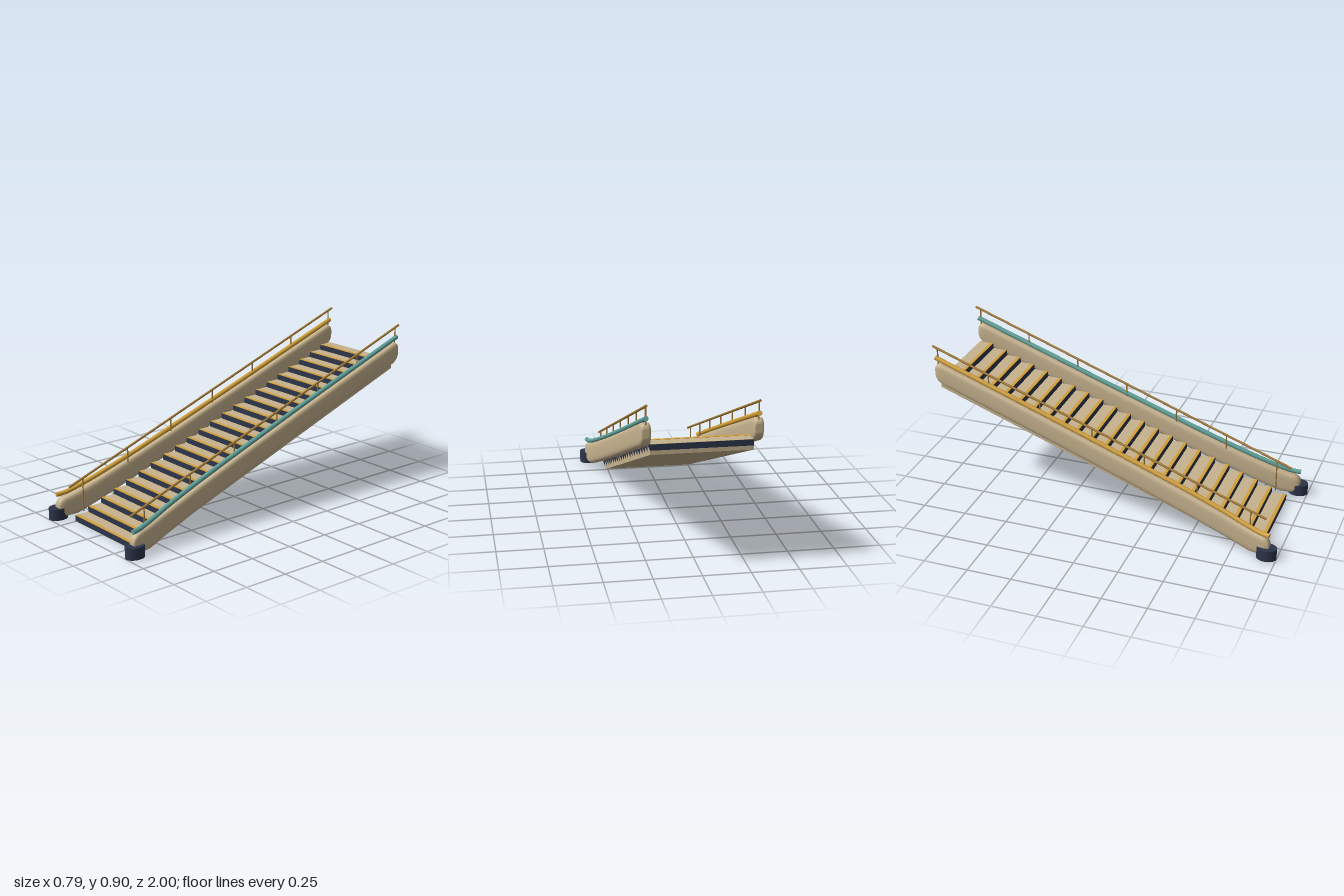
import * as THREE from 'three';

const mat = (name, color) => Object.assign(new THREE.MeshStandardMaterial({ color }), { name });

const STEPS = 22, DEPTH = 0.085, RISE = 0.0314, FRONT = 0.9, HALF = 0.258;
const SLOPE = RISE / DEPTH;

// Sideways flare of the side panels and handrails towards the foot
const flare = [[-1, 0.28], [-0.3, 0.283], [0.2, 0.29], [0.5, 0.3], [0.7, 0.315], [0.85, 0.336], [0.97, 0.356]];
// Height of the handrail along z
const railHeight = [[-0.985, 0.827], [0.8, 0.175], [0.86, 0.155], [0.91, 0.141], [0.97, 0.135]];

function sample(table, z) {
  for (let i = 1; i < table.length; i++) {
    const [z0, a] = table[i - 1], [z1, b] = table[i];
    if (z <= z1 || i === table.length - 1) return a + (b - a) * (z - z0) / (z1 - z0);
  }
}

// Rounded side panel, lofted from superellipse sections along z
function panelGeometry(side) {
  const zBack = -0.982, zFront = 0.957, round = 0.05, N = 28;
  const zs = [];
  for (let i = 0; i <= 6; i++) zs.push(zBack + round * (1 - Math.cos(i / 6 * Math.PI / 2)));
  for (let i = 1; i < 30; i++) zs.push(zBack + round + (zFront - zBack - 2 * round) * i / 30);
  for (let i = 6; i >= 0; i--) zs.push(zFront - round * (1 - Math.cos(i / 6 * Math.PI / 2)));

  const pos = [], index = [];
  const tri = (a, b, c) => side > 0 ? index.push(a, b, c) : index.push(a, c, b);
  const power = (v) => Math.sign(v) * Math.pow(Math.abs(v), 0.55);
  const ring = (z) => {
    const e = Math.min(z - zBack, zFront - z, round) / round;
    const inset = 1 - Math.sqrt(Math.max(0, 1 - (1 - e) ** 2));
    const top = sample(railHeight, z) - 0.014 - 0.04 * inset;
    const bottom = Math.max(SLOPE * (FRONT - z) - 0.005, 0.012) + 0.035 * inset;
    const cx = sample(flare, z) - (z > 0.6 ? (z - 0.6) * 0.03 : 0);
    const w = 0.03 - 0.012 * inset, cy = (top + bottom) / 2, h = (top - bottom) / 2;
    for (let j = 0; j < N; j++) {
      const a = j / N * Math.PI * 2;
      pos.push(side * (cx + w * power(Math.cos(a))), cy + h * power(Math.sin(a)), z);
    }
    return [side * cx, cy, z];
  };
  zs.forEach(ring);
  for (let i = 0; i < zs.length - 1; i++) {
    for (let j = 0; j < N; j++) {
      const a = i * N + j, b = i * N + (j + 1) % N;
      tri(a, b, b + N);
      tri(a, b + N, a + N);
    }
  }
  // End caps with their own vertices
  for (const [z, back] of [[zBack, true], [zFront, false]]) {
    const start = pos.length / 3;
    pos.push(...ring(z));
    for (let j = 0; j < N; j++) {
      const a = start + j, b = start + (j + 1) % N;
      if (back) tri(start + N, b, a); else tri(start + N, a, b);
    }
  }
  const g = new THREE.BufferGeometry();
  g.setAttribute('position', new THREE.Float32BufferAttribute(pos, 3));
  g.setIndex(index);
  g.computeVertexNormals();
  return g;
}

// Solid round bar between two points
function bar(a, b, r, material, name) {
  const d = b.clone().sub(a);
  const m = new THREE.Mesh(new THREE.CylinderGeometry(r, r, d.length(), 12), material);
  m.position.copy(a).add(b).multiplyScalar(0.5);
  m.quaternion.setFromUnitVectors(new THREE.Vector3(0, 1, 0), d.normalize());
  m.name = name;
  return m;
}

export function createModel() {
  const model = new THREE.Group();
  model.name = 'staircase';
  const tan = mat('tan', 0xc6b28e), navy = mat('navy', 0x2c3449), gold = mat('gold', 0xd2a03a);
  const teal = mat('teal', 0x5f9f98), brass = mat('brass', 0xa67c38);

  const add = (parent, geometry, material, name, x = 0, y = 0, z = 0) => {
    const m = new THREE.Mesh(geometry, material);
    m.name = name;
    m.position.set(x, y, z);
    parent.add(m);
    return m;
  };

  // Sloping slab beneath the steps
  const outline = [];
  for (let i = 1; i < STEPS; i++) {
    const z = FRONT - i * DEPTH;
    outline.push(new THREE.Vector2(z, (i - 1) * RISE), new THREE.Vector2(z, i * RISE));
  }
  const zEnd = FRONT - STEPS * DEPTH;
  outline.push(new THREE.Vector2(zEnd, (STEPS - 1) * RISE), new THREE.Vector2(zEnd, 0.638), new THREE.Vector2(0.76, 0));
  const slab = new THREE.ExtrudeGeometry(new THREE.Shape(outline), { depth: 2 * HALF, bevelEnabled: false });
  slab.rotateY(-Math.PI / 2).translate(HALF, 0, 0);
  add(model, slab, tan, 'slab');

  // Steps: dark block, tan tread and gold nosing strip
  const steps = new THREE.Group();
  steps.name = 'steps';
  model.add(steps);
  const block = new THREE.BoxGeometry(2 * HALF, RISE, DEPTH);
  const tread = new THREE.BoxGeometry(2 * HALF - 0.004, 0.002, DEPTH - 0.003);
  const nosing = new THREE.BoxGeometry(2 * HALF - 0.006, 0.003, 0.018);
  for (let i = 0; i < STEPS; i++) {
    const z = FRONT - (i + 0.5) * DEPTH, top = (i + 1) * RISE;
    add(steps, block, navy, 'stepBlock', 0, top - RISE / 2, z);
    add(steps, tread, tan, 'tread', 0, top + 0.0003, z - 0.001);
    add(steps, nosing, gold, 'nosing', 0, top + 0.001, z + DEPTH / 2 - 0.01);
  }

  for (const side of [1, -1]) {
    const half = new THREE.Group();
    half.name = side > 0 ? 'leftSide' : 'rightSide';
    model.add(half);

    add(half, panelGeometry(side), tan, 'sidePanel');

    // Oval foot
    const foot = new THREE.CylinderGeometry(0.043, 0.043, 0.064, 32);
    foot.scale(1, 1, 0.055 / 0.043);
    add(half, foot, navy, 'foot', side * 0.354, 0.032, 0.945);

    // Thick handrail following the panel, with closed ends
    const zs = [-0.985, -0.6, -0.3, 0, 0.25, 0.5, 0.7, 0.8, 0.86, 0.91, 0.955];
    const points = zs.map((z) => new THREE.Vector3(side * sample(flare, z), sample(railHeight, z), z));
    const railMaterial = side > 0 ? teal : gold;
    add(half, new THREE.TubeGeometry(new THREE.CatmullRomCurve3(points), 80, 0.013, 14), railMaterial, 'handrail');
    for (const [p, q] of [[points[0], points[1]], [points.at(-1), points.at(-2)]]) {
      const cap = add(half, new THREE.CircleGeometry(0.013, 14), railMaterial, 'handrailEnd', p.x, p.y, p.z);
      cap.quaternion.setFromUnitVectors(new THREE.Vector3(0, 0, 1), p.clone().sub(q).normalize());
    }

    // Thin straight upper rail on posts
    const x = side * 0.28;
    const upper = (z) => 0.19 + (0.92 - z) * 0.3675;
    half.add(bar(new THREE.Vector3(x, upper(0.918), 0.918), new THREE.Vector3(x, upper(-0.998), -0.998), 0.0065, brass, 'upperRail'));
    for (let i = 0; i < 7; i++) {
      const z = 0.83 - i * 0.3;
      half.add(bar(new THREE.Vector3(x, upper(z) - 0.19, z), new THREE.Vector3(x, upper(z), z), 0.0038, brass, 'post'));
    }
  }
  return model;
}
